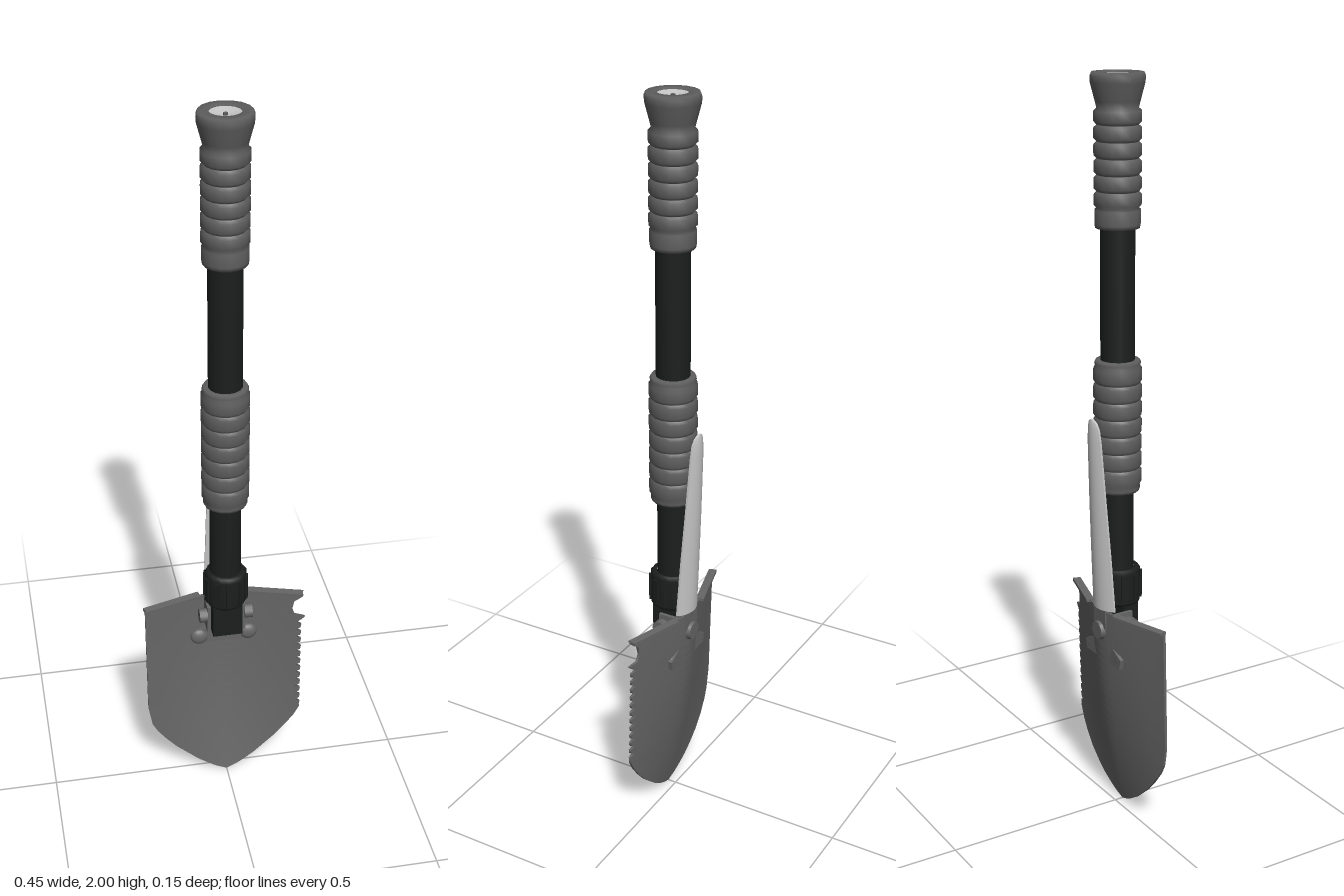
import * as THREE from 'three';

const mat = (name, color, side = THREE.FrontSide) => {
  const m = new THREE.MeshStandardMaterial({ color, side });
  m.name = name;
  return m;
};

// Surface through a grid of points: rows run downward, columns left to right
function gridSurface(rows) {
  const n = rows[0].length, pos = [], idx = [];
  rows.forEach((r) => r.forEach((p) => pos.push(...p)));
  for (let i = 0; i < rows.length - 1; i++)
    for (let j = 0; j < n - 1; j++) {
      const a = i * n + j, b = a + n;
      idx.push(a, b, b + 1, a, b + 1, a + 1);
    }
  const g = new THREE.BufferGeometry();
  g.setAttribute('position', new THREE.Float32BufferAttribute(pos, 3));
  g.setIndex(idx);
  g.computeVertexNormals();
  return g;
}

export function createModel() {
  const group = new THREE.Group();
  const steel = mat('dark steel', 0x666666, THREE.DoubleSide);
  const rubber = mat('grey grip', 0x5e5e5e);
  const black = mat('black metal', 0x1c1e1e);
  const bright = mat('bright metal', 0xc6c6c6, THREE.DoubleSide);
  const axisZ = 0.007;

  const add = (name, geo, material, x = 0, y = 0, z = 0) => {
    const m = new THREE.Mesh(geo, material);
    m.name = name;
    m.position.set(x, y, z);
    group.add(m);
    return m;
  };
  const lathe = (pts, sides = 16) =>
    new THREE.LatheGeometry(pts.map(([r, y]) => new THREE.Vector2(r, y)), sides);
  const rod = (name, r, y0, y1, material, z = axisZ, sides = 16) =>
    add(name, new THREE.CylinderGeometry(r, r, y1 - y0, sides), material, 0, (y0 + y1) / 2, z);

  // Shaft
  rod('upperTube', 0.045, 1.25, 1.66, black);
  rod('lowerTube', 0.043, 0.68, 0.96, black);

  // Rounded ribs with narrow grooves between them
  const ribs = (y0, y1, count, r, groove) => {
    const pts = [], h = (y1 - y0) / count;
    for (let i = 0; i < count; i++) {
      const y = y0 + i * h;
      pts.push([groove, y], [r, y + h * 0.2], [r, y + h * 0.8], [groove, y + h * 0.98]);
    }
    return pts;
  };
  add('topGrip', lathe([[0.04, 1.62], [0.057, 1.62], [0.059, 1.63], [0.059, 1.665],
    ...ribs(1.67, 1.915, 6, 0.061, 0.053),
    [0.057, 1.93], [0.069, 1.975], [0.07, 1.99], [0.066, 2], [0.04, 2], [0.039, 1.99]]), rubber, 0, 0, axisZ);
  add('endCap', lathe([[0.04, 1.996], [0.004, 1.988], [0, 1.988]]), bright, 0, 0, axisZ);
  add('capPin', new THREE.CylinderGeometry(0.006, 0.006, 0.008, 8), rubber, 0, 1.99, axisZ);
  add('middleGrip', lathe([[0.04, 0.927], [0.057, 0.927], [0.06, 0.935],
    ...ribs(0.945, 1.265, 7, 0.064, 0.058),
    [0.061, 1.272], [0.057, 1.28], [0.04, 1.28]]), rubber, 0, 0, axisZ);

  // Locking nut with grip flats, and the neck below it
  add('lockingNut', lathe([[0.03, 0.61], [0.053, 0.61], [0.057, 0.618], [0.057, 0.7], [0.052, 0.71], [0.04, 0.71]]),
    black, 0, 0, 0.012);
  for (let i = 0; i < 10; i++) {
    const a = (i / 10) * Math.PI * 2;
    const lug = add('nutLug', new THREE.BoxGeometry(0.016, 0.075, 0.01), black,
      Math.sin(a) * 0.056, 0.66, 0.012 + Math.cos(a) * 0.056);
    lug.rotation.y = a;
  }
  add('neck', new THREE.BoxGeometry(0.082, 0.11, 0.046), black, 0, 0.565, 0.024);

  // Blade: dished sheet, deepest along the middle of its top edge
  const bladeZ = (x, y) => {
    const u = y / 0.6, t = Math.min(1, Math.abs(x) / 0.22);
    const mid = 0.028 - 0.076 * (1 - Math.pow(1 - u, 1.8));
    const edge = 0.028 - 0.016 * u;
    return mid + (edge - mid) * Math.pow(t, 1.25);
  };
  const tip = [[0.2, 0.215], [0.17, 0.2], [0.135, 0.175], [0.1, 0.145], [0.07, 0.112],
    [0.045, 0.083], [0.025, 0.053], [0.012, 0.03], [0, 0]];
  // Right-hand edge: hooked opener, saw teeth, then the pointed end
  const outline = [[0.595, 0.22], [0.585, 0.214], [0.57, 0.196], [0.545, 0.191], [0.526, 0.198],
    [0.52, 0.226], [0.508, 0.213]];
  for (let i = 0; i < 12; i++) {
    const y = 0.5 - i * 0.025;
    outline.push([y, 0.203], [y - 0.006, 0.216], [y - 0.018, 0.214]);
  }
  outline.push(...tip);
  const leftEdge = (y) => {
    const pts = [[0.6, 0.225], [0.26, 0.225], ...tip];
    const k = Math.max(0, pts.findIndex((p) => p[0] <= y) - 1);
    const [y0, x0] = pts[k], [y1, x1] = pts[k + 1];
    return -(x0 + (x1 - x0) * (y0 - y) / (y0 - y1));
  };
  const sheet = (dz) => outline.map(([y, xr]) => {
    const xl = leftEdge(y);
    return Array.from({ length: 17 }, (_, j) => {
      const x = xl + (xr - xl) * j / 16;
      return [x, y, bladeZ(x, y) + dz];
    });
  });
  const front = sheet(0.003), back = sheet(-0.004);
  const rim = (rows) => [...rows[0], ...rows.slice(1).map((r) => r[16]),
    ...rows.slice(0, -1).reverse().map((r) => r[0])];
  add('bladeFront', gridSurface(front), steel);
  add('bladeBack', gridSurface(back.map((r) => [...r].reverse())), steel);
  add('bladeRim', gridSurface([rim(back), rim(front)]), steel);

  // Folded step along each half of the top edge, and the hinge and rivets
  for (const s of [-1, 1]) {
    const x0 = 0.065, x1 = s > 0 ? 0.22 : 0.225;
    const z0 = bladeZ(x0, 0.595), z1 = bladeZ(x1, 0.595);
    const step = add('footStep', new THREE.BoxGeometry(Math.hypot(x1 - x0, z1 - z0), 0.008, 0.022), steel,
      s * (x0 + x1) / 2, 0.594, (z0 + z1) / 2 - 0.005);
    step.rotation.y = -s * Math.atan2(z1 - z0, x1 - x0);

    add('hingeEar', new THREE.BoxGeometry(0.01, 0.085, 0.06), steel, s * 0.048, 0.55, -0.008);
    const bolt = add('hingeBolt', new THREE.CylinderGeometry(0.02, 0.02, 0.022, 12), steel, s * 0.063, 0.56, 0.01);
    bolt.rotation.z = Math.PI / 2;

    const z = bladeZ(0.07, 0.467);
    const dome = new THREE.SphereGeometry(0.025, 14, 6, 0, Math.PI * 2, 0, Math.PI / 2).rotateX(Math.PI / 2);
    add('frontRivet', dome, steel, s * 0.07, 0.467, z + 0.012).scale.z = 0.6;
    const rear = dome.clone().rotateY(Math.PI);
    add('backRivet', rear, steel, s * 0.07, 0.467, z - 0.003).scale.set(0.7, 0.7, 0.35);
  }

  // Hinge plate riveted to the blade
  const plate = new THREE.Shape([[-0.045, 0.545], [-0.05, 0.495], [-0.09, 0.475], [-0.085, 0.447],
    [0.085, 0.447], [0.09, 0.475], [0.05, 0.495], [0.045, 0.545]].map(([x, y]) => new THREE.Vector2(x, y)));
  add('hingePlate', new THREE.ExtrudeGeometry(plate, { depth: 0.028, bevelEnabled: false }), steel, 0, 0, -0.04);
  const pivot = add('pickPivot', new THREE.CylinderGeometry(0.024, 0.027, 0.014, 16), steel, 0, 0.535, -0.052);
  pivot.rotation.x = -Math.PI / 2;

  // Folded pick: curved channel lying behind the shaft, rounded at its free end
  // Each section: height, half width, rear z, depth of the curve
  const sections = [[1.13, 0.006, -0.074, 0.002], [1.122, 0.018, -0.076, 0.006], [1.105, 0.026, -0.077, 0.01],
    [1.07, 0.031, -0.077, 0.012], [0.9, 0.04, -0.071, 0.016], [0.75, 0.047, -0.065, 0.02], [0.6, 0.052, -0.058, 0.022]];
  const channel = (inset) => sections.map(([y, w, z, d]) => Array.from({ length: 11 }, (_, j) => {
    const t = 1 - j / 5;
    return [t * w, y, z + inset + d * t * t];
  }));
  const outer = channel(0), inner = channel(0.005);
  add('pickBack', gridSurface(outer), bright);
  add('pickInside', gridSurface(inner.map((r) => [...r].reverse())), bright);
  const loop = (rows) => [...rows[0], ...rows.slice(1).map((r) => r[10]),
    ...[...rows[rows.length - 1]].reverse(), ...[...rows].reverse().map((r) => r[0])];
  add('pickRim', gridSurface([loop(inner), loop(outer)]), bright);
  add('pickFoot', new THREE.BoxGeometry(0.06, 0.08, 0.008), steel, 0, 0.585, -0.046);

  return group;
}
